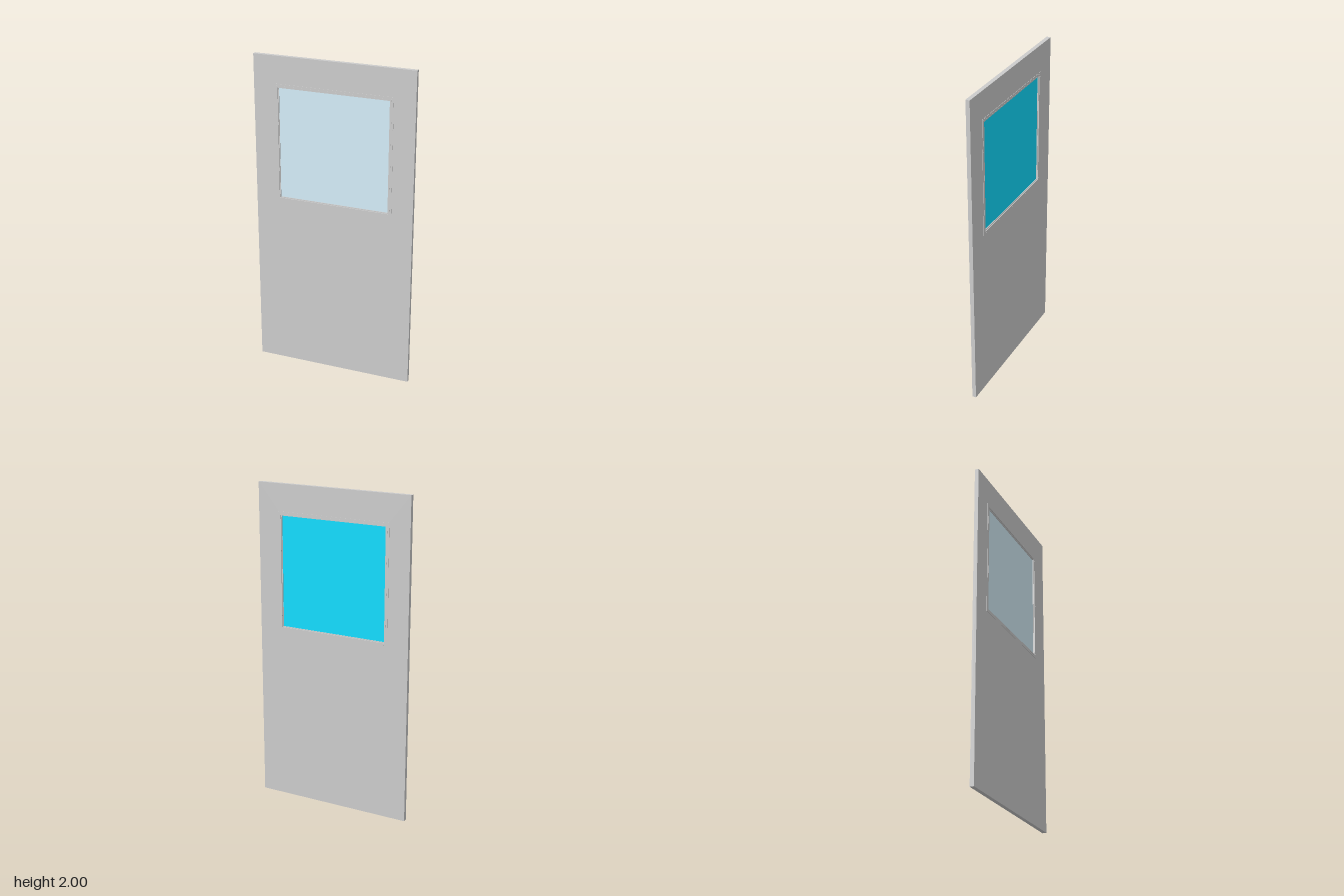
import * as THREE from 'three';

const CY = 1.465; // window centre height

function rectPath(PathType, hx, hy, cy = 0) {
  const p = new PathType();
  p.moveTo(-hx, cy - hy);
  p.lineTo(hx, cy - hy);
  p.lineTo(hx, cy + hy);
  p.lineTo(-hx, cy + hy);
  p.closePath();
  return p;
}

// Square ring between two half sizes, spanning z0 to z1
function ring(outer, inner, z0, z1) {
  const s = rectPath(THREE.Shape, outer, outer);
  s.holes.push(rectPath(THREE.Path, inner, inner));
  return new THREE.ExtrudeGeometry(s, { depth: z1 - z0, bevelEnabled: false }).translate(0, 0, z0);
}

export function createModel() {
  const door = new THREE.Group();
  door.name = 'door';
  const grey = new THREE.MeshStandardMaterial({ color: 0xcccccc });
  const frontGlass = new THREE.MeshStandardMaterial({ color: 0xd4edf8 });
  const backGlass = new THREE.MeshStandardMaterial({ color: 0x10dcff });

  const add = (parent, name, geometry, material = grey) => {
    const mesh = new THREE.Mesh(geometry, material);
    mesh.name = name;
    parent.add(mesh);
    return mesh;
  };

  // Slab with the window opening
  const slab = rectPath(THREE.Shape, 0.5, 1, 1);
  slab.holes.push(rectPath(THREE.Path, 0.355, 0.355, CY));
  add(door, 'slab', new THREE.ExtrudeGeometry(slab, { depth: 0.025, bevelEnabled: false })
    .translate(0, 0, -0.0125));

  // The two faces of the window: trim, glazing stop, screws and pane
  const screwGeo = new THREE.CylinderGeometry(0.0025, 0.0025, 0.0006, 10).rotateX(Math.PI / 2);
  for (const side of ['front', 'back']) {
    const face = new THREE.Group();
    face.name = side + 'WindowFrame';
    face.position.y = CY;
    if (side === 'back') face.rotation.y = Math.PI;
    add(face, 'flange', ring(0.368, 0.355, 0.0122, 0.0145));
    add(face, 'raisedBead', ring(0.356, 0.348, 0.002, 0.015));
    add(face, 'glazingStop', ring(0.35, 0.343, 0.002, 0.009));
    add(face, 'pane', new THREE.BoxGeometry(0.694, 0.694, 0.004).translate(0, 0, 0.002),
      side === 'front' ? frontGlass : backGlass);

    // Evenly spaced screws along all four edges
    for (let edge = 0; edge < 4; edge++) {
      for (let i = -2; i <= 2; i++) {
        const screw = add(face, 'screw', screwGeo);
        screw.position.set(i * 0.17, 0.361, 0.0147)
          .applyAxisAngle(new THREE.Vector3(0, 0, 1), edge * Math.PI / 2);
      }
    }
    door.add(face);
  }
  return door;
}
